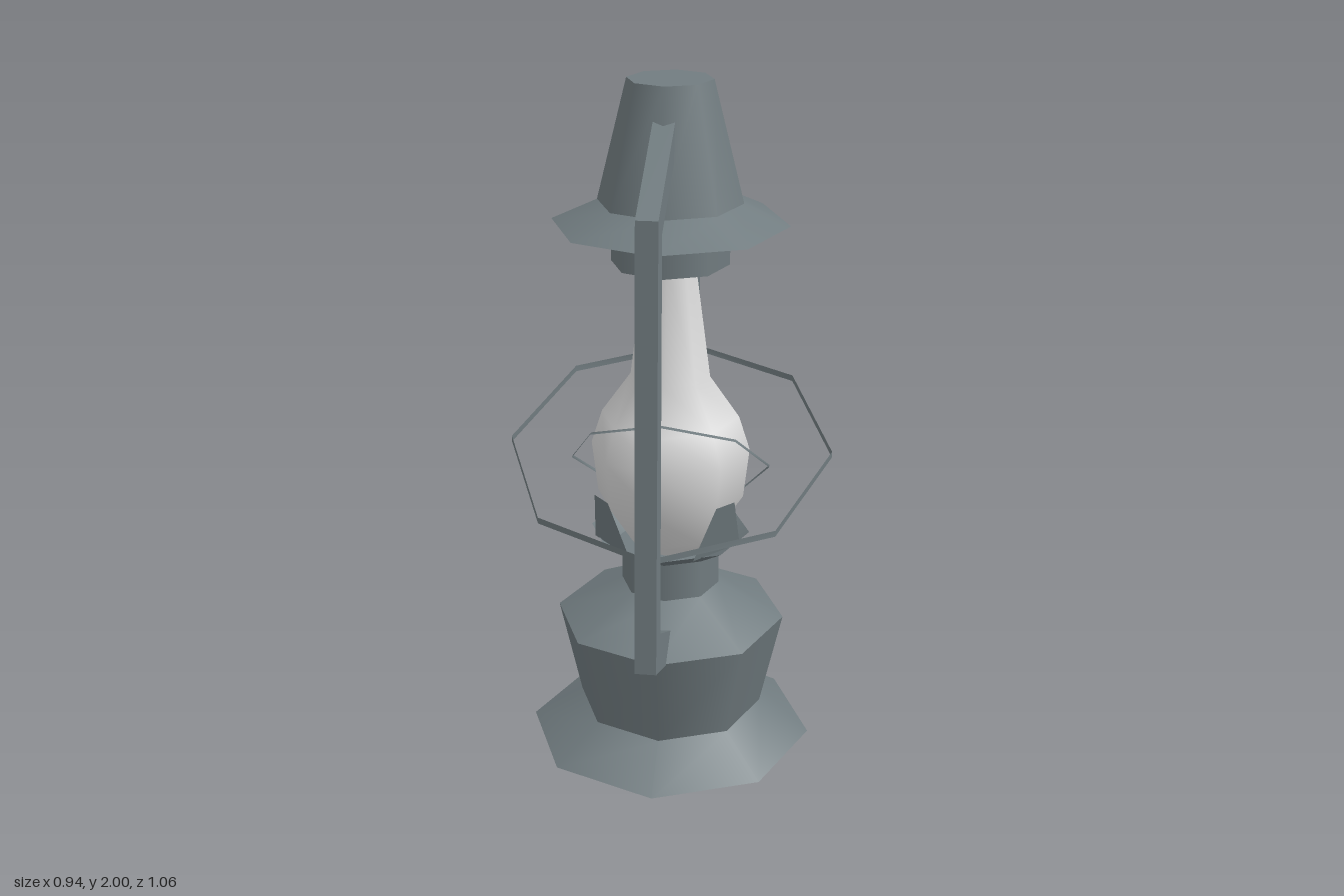
import * as THREE from 'three';
import { mergeGeometries } from 'three/addons/utils/BufferGeometryUtils.js';

const SIDES = 8;

// Stack of octagonal cone bands with a hard edge at each ring; profile = [radius, y] upwards
function bands(profile) {
  const parts = [];
  for (let i = 1; i < profile.length; i++) {
    const [r0, y0] = profile[i - 1], [r1, y1] = profile[i];
    const g = new THREE.CylinderGeometry(r1, r0, y1 - y0, SIDES, 1, true);
    parts.push(g.translate(0, (y0 + y1) / 2, 0));
  }
  return mergeGeometries(parts);
}

// Octagonal cap facing up or down
function cap(r, y, up) {
  const g = new THREE.CircleGeometry(r, SIDES);
  return g.rotateX(up ? -Math.PI / 2 : Math.PI / 2).translate(0, y, 0);
}

// Moves each vertex by a rule
function warp(g, rule) {
  const p = g.attributes.position, v = new THREE.Vector3();
  for (let i = 0; i < p.count; i++) {
    rule(v.fromBufferAttribute(p, i));
    p.setXYZ(i, v.x, v.y, v.z);
  }
  g.computeVertexNormals();
  return g;
}

export function createModel() {
  const model = new THREE.Group();
  model.name = 'lantern';
  const metal = new THREE.MeshStandardMaterial({ color: 0x717c80, side: THREE.DoubleSide });
  metal.name = 'grey metal';
  const glass = new THREE.MeshStandardMaterial({ color: 0xdcdcdc, side: THREE.DoubleSide });
  glass.name = 'pale glass';

  const add = (name, geometry, material = metal) => {
    const mesh = new THREE.Mesh(geometry, material);
    mesh.name = name;
    model.add(mesh);
    return mesh;
  };

  // Foot, fuel tank and neck
  add('tank', mergeGeometries([
    cap(0.425, 0, false),
    bands([[0.425, 0], [0.275, 0.1], [0.34, 0.39], [0.145, 0.495], [0.145, 0.62]]),
  ]));

  // Burner bowl, open at the top
  add('burnerBowl', bands([[0.145, 0.61], [0.235, 0.665]]));
  add('burnerFloor', cap(0.16, 0.625, true));

  // Glass chimney
  const profile = [[0.11, 0.626], [0.14, 0.665], [0.215, 0.78], [0.232, 0.93],
    [0.2, 1.03], [0.115, 1.15], [0.07, 1.5]];
  add('glassChimney', new THREE.LatheGeometry(
    profile.map(([r, y]) => new THREE.Vector2(r, y)), SIDES), glass);

  // Prongs holding the glass: one behind, two in front
  const prong = new THREE.Shape([[-0.09, 0], [0.09, 0], [0.035, 0.16], [-0.035, 0.16]]
    .map(([x, y]) => new THREE.Vector2(x, y)));
  for (const angle of [Math.PI, 0.84, -0.84]) {
    const g = warp(new THREE.ShapeGeometry(prong), (v) => { v.z = 0.205 + v.y * 0.22; });
    add('prong', g.translate(0, 0.66, 0).rotateY(angle));
  }

  // Hood: collar, brim and chimney cap
  add('hoodCollar', mergeGeometries([
    cap(0.168, 1.485, false), bands([[0.168, 1.485], [0.168, 1.6]])]));
  add('hood', mergeGeometries([
    bands([[0.165, 1.585], [0.335, 1.6], [0.205, 1.66], [0.12, 2]]), cap(0.12, 2, true)]));

  // Side frames in the z-y plane, front and back
  const frame = new THREE.Shape([[0.1, 1.925], [0.46, 1.73], [0.53, 0.47], [0.24, 0.35],
    [0.2, 0.43], [0.445, 0.553], [0.392, 1.678], [0.1, 1.83]]
    .map(([z, y]) => new THREE.Vector2(z, y)));
  const width = 0.06;
  for (const [name, turn] of [['frontFrame', -1], ['backFrame', 1]]) {
    const g = new THREE.ExtrudeGeometry(frame, { depth: width, bevelEnabled: false });
    add(name, g.translate(0, 0, -width / 2).rotateY(turn * Math.PI / 2));
  }

  // Large wire guard: thin upright band sloping down to the front
  const guard = new THREE.CylinderGeometry(1, 1, 0.018, SIDES, 1, true);
  add('largeWire', warp(guard, (v) => {
    v.x *= 0.47;
    v.z *= 0.445;
    v.y += 0.926 - v.z * 0.354;
  }));

  // Small wire guard: band running front to back, sloping up to the front
  const loop = new THREE.CylinderGeometry(1, 1, 0.018, SIDES, 1, true).rotateX(Math.PI / 2);
  add('smallWire', warp(loop, (v) => {
    v.z += v.y * 0.235;
    v.x *= 0.29;
    v.y = 0.88 + v.y * 0.203;
  }));

  return model;
}
